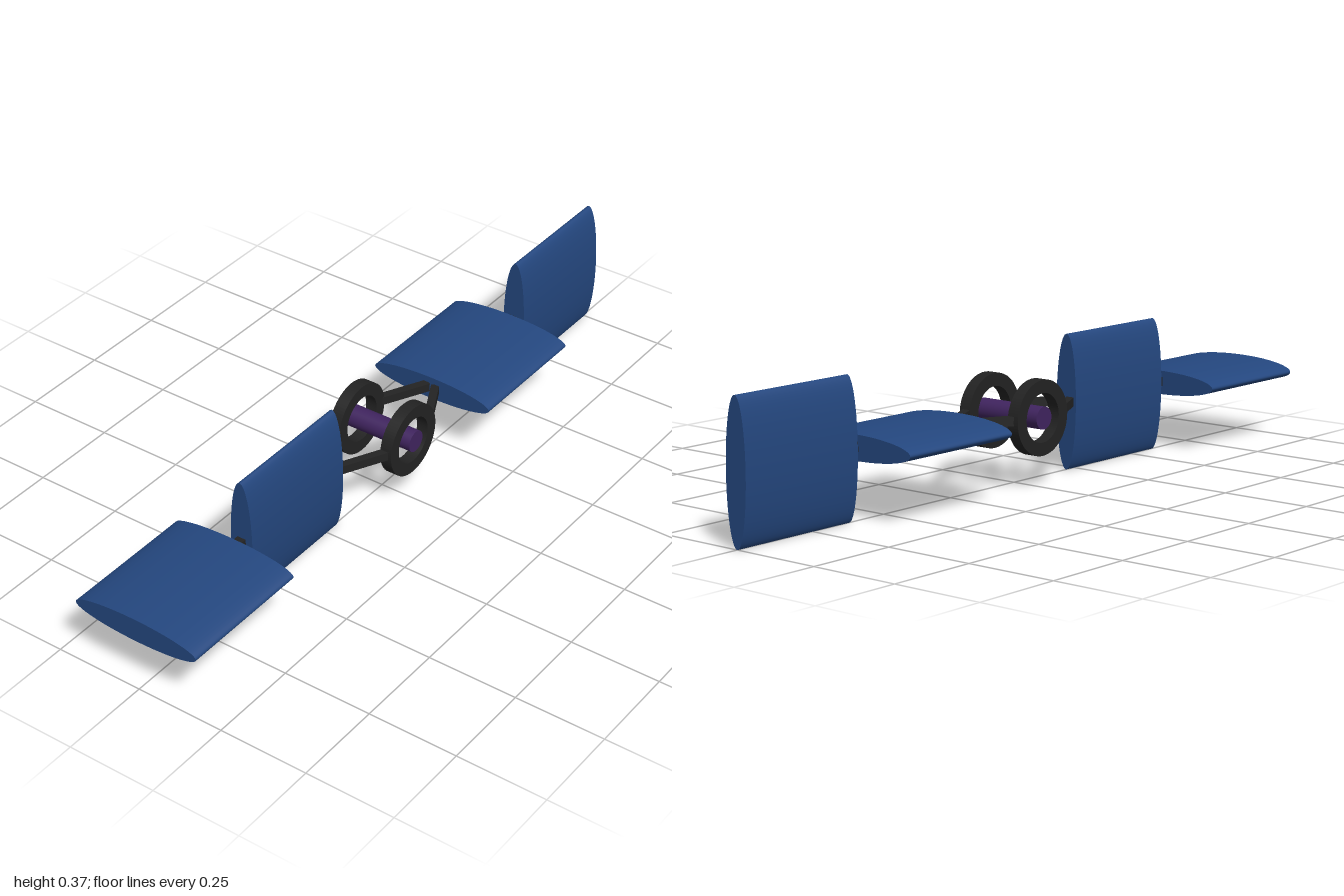
import * as THREE from 'three';

export function createModel() {
  const model = new THREE.Group();
  const mat = (name, color) => Object.assign(new THREE.MeshStandardMaterial({ color }), { name });
  const blue = mat('panelBlue', 0x24477f);
  const black = mat('frameBlack', 0x232323);
  const purple = mat('axlePurple', 0x40245f);
  const Y = 0.185, ZC = -0.004; // centre height and hub centre

  const add = (name, geo, material, x, y, z) => {
    const mesh = new THREE.Mesh(geo, material);
    mesh.name = name;
    mesh.position.set(x, y, z);
    model.add(mesh);
    return mesh;
  };

  // Elliptical panels along z, alternately flat and upright
  const panelLength = 0.376;
  const panel = (name, z, upright) => {
    const geo = new THREE.CylinderGeometry(1, 1, panelLength, 64);
    geo.rotateX(Math.PI / 2);
    geo.scale(upright ? 0.033 : 0.184, upright ? 0.184 : 0.033, 1);
    geo.computeVertexNormals();
    add(name, geo, blue, 0, Y, z);
  };
  panel('frontOuterPanel', 0.812, false);
  panel('frontInnerPanel', 0.404, true);
  panel('rearInnerPanel', -0.413, false);
  panel('rearOuterPanel', -0.812, true);

  // Short links between the panels
  for (const [name, z] of [['frontLink', 0.608], ['rearLink', -0.612]]) {
    add(name, new THREE.BoxGeometry(0.025, 0.025, 0.05), black, 0, Y + 0.003, z);
  }

  // Hub rings
  const ringShape = new THREE.Shape().absarc(0, 0, 0.1, 0, Math.PI * 2);
  ringShape.holes.push(new THREE.Path().absarc(0, 0, 0.065, 0, Math.PI * 2, true));
  const ringGeo = new THREE.ExtrudeGeometry(ringShape, { depth: 0.034, bevelEnabled: false, curveSegments: 40 });
  ringGeo.translate(0, 0, -0.017);
  ringGeo.rotateY(Math.PI / 2);
  add('leftRing', ringGeo, black, 0.08, Y, ZC);
  add('rightRing', ringGeo, black, -0.084, Y, ZC);

  // Axle through both rings
  const axle = new THREE.CylinderGeometry(0.03, 0.03, 0.21, 32);
  axle.rotateZ(Math.PI / 2);
  add('axle', axle, purple, 0, Y, ZC);

  // Struts converging from the rings to the inner panels
  for (const end of [1, -1]) {
    for (const side of [1, -1]) {
      const a = new THREE.Vector3(side * 0.086, Y + 0.003, ZC + end * 0.078);
      const b = new THREE.Vector3(side * 0.012, Y + 0.003, ZC + end * 0.222);
      const strut = add((end > 0 ? 'front' : 'rear') + (side > 0 ? 'Left' : 'Right') + 'Strut',
        new THREE.BoxGeometry(0.022, 0.024, a.distanceTo(b)), black, 0, 0, 0);
      strut.position.copy(a).lerp(b, 0.5);
      strut.lookAt(b);
    }
  }
  return model;
}
